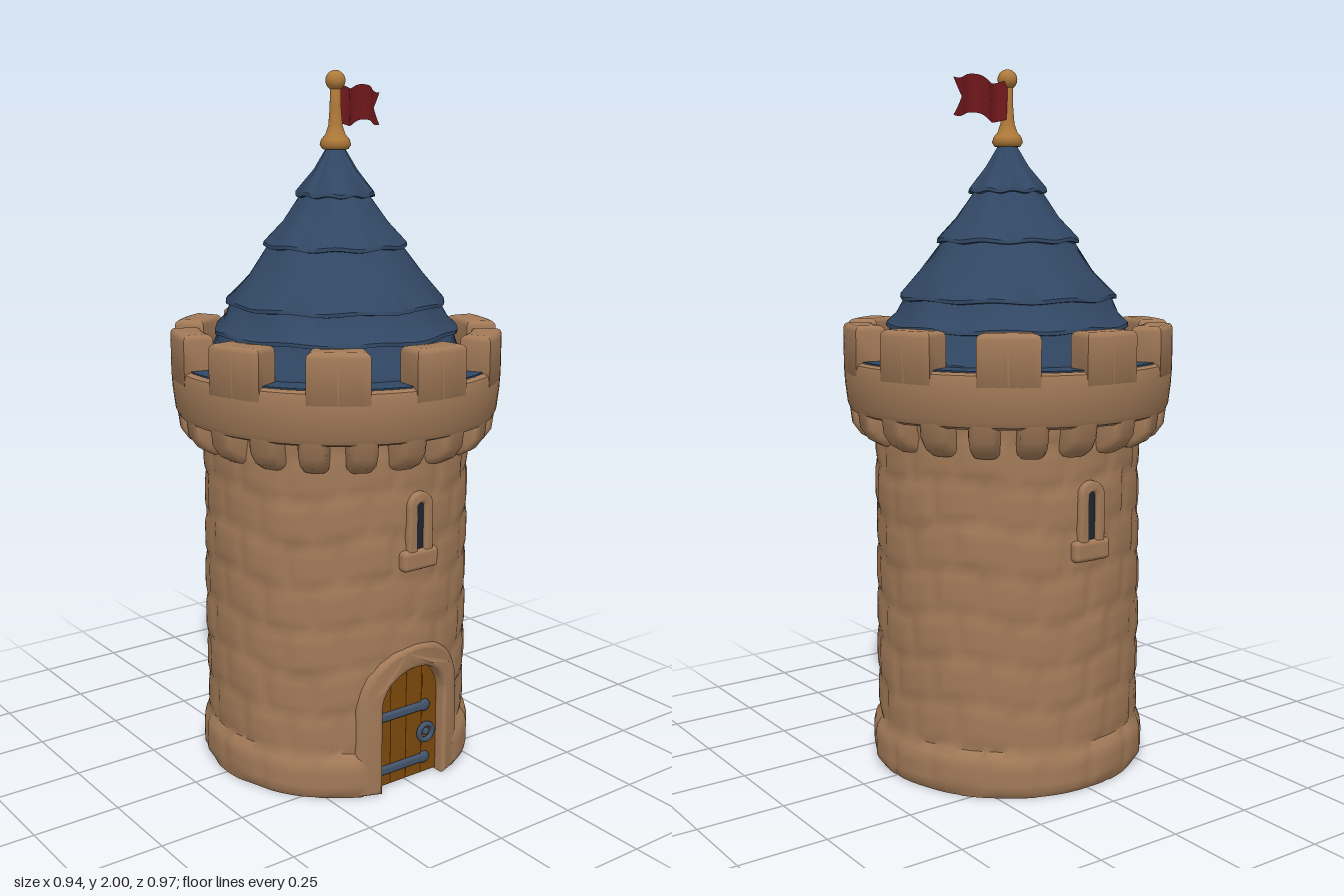
import * as THREE from 'three';
import { toCreasedNormals } from 'three/addons/utils/BufferGeometryUtils.js';
import { RoundedBoxGeometry } from 'three/addons/geometries/RoundedBoxGeometry.js';

const mat = (name, color, extra = {}) => {
  const m = new THREE.MeshStandardMaterial({ color, ...extra });
  m.name = name;
  return m;
};
const V2 = (x, y) => new THREE.Vector2(x, y);

export function createModel() {
  const stone = mat('stone', 0xa27a58);
  const slate = mat('slate blue', 0x314764);
  const wood = mat('door wood', 0x7c490c);
  const brass = mat('brass', 0xb07a3a);
  const iron = mat('iron', 0x42536b);
  const cloth = mat('red cloth', 0x7e1c20, { side: THREE.DoubleSide });
  const dark = mat('window dark', 0x1d2530);

  const model = new THREE.Group();
  model.name = 'tower';
  const add = (name, geo, material, parent = model) => {
    const mesh = new THREE.Mesh(geo, material);
    mesh.name = name;
    parent.add(mesh);
    return mesh;
  };
  const hash = (a, b) => {
    const s = Math.sin(a * 127.1 + b * 311.7) * 43758.5453;
    return s - Math.floor(s);
  };
  const reshape = (geo, rule, crease = 0.7) => {
    const p = geo.attributes.position, v = new THREE.Vector3();
    for (let i = 0; i < p.count; i++) {
      rule(v.fromBufferAttribute(p, i));
      p.setXYZ(i, v.x, v.y, v.z);
    }
    return toCreasedNormals(geo, crease);
  };
  const extrude = (shape, depth, bevel, curveSegments = 12) => new THREE.ExtrudeGeometry(shape, {
    depth, curveSegments, bevelEnabled: bevel > 0, bevelSize: bevel, bevelThickness: bevel, bevelSegments: 3 });
  const archShape = (w, bottom, spring) => {
    const s = new THREE.Shape();
    s.moveTo(-w, bottom);
    s.lineTo(w, bottom);
    s.lineTo(w, spring);
    s.absarc(0, spring, w, 0, Math.PI);
    s.closePath();
    return s;
  };

  // Wall: uneven stone courses, a wider foot and a doorway pushed inwards
  const wall = new THREE.CylinderGeometry(0.388, 0.388, 1.05, 160, 56);
  wall.rotateY(Math.PI / 2).translate(0, 0.525, 0);
  add('wall', reshape(wall, v => {
    const r0 = Math.hypot(v.x, v.z);
    if (r0 < 0.1) return;
    const a = Math.atan2(v.x, v.z) / (2 * Math.PI) + 1;
    const rowF = v.y / 0.125 + 0.12 * Math.sin(a * 2 * Math.PI * 5), row = Math.floor(rowF);
    const colF = a * 16 + (row % 2) * 0.5, col = Math.floor(colF) % 16;
    const edge = Math.min((rowF - row) * 0.125, (row + 1 - rowF) * 0.125,
      (colF % 1) * 0.15, (1 - colF % 1) * 0.15);
    const foot = 1 - THREE.MathUtils.smoothstep(v.y, 0.1, 0.135);
    let r = 0.387 + (hash(row, col) - 0.5) * 0.005 - 0.006 * (1 - Math.min(1, edge / 0.025));
    r += foot * 0.016 - (v.y < 0.005 ? 0.01 : 0);
    v.x *= r / r0;
    v.z *= r / r0;
    const inDoor = v.y < 0.265 ? Math.abs(v.x) < 0.15 : Math.hypot(v.x, v.y - 0.265) < 0.145;
    if (v.z > 0 && inDoor) v.z = Math.min(v.z, 0.325);
  }), stone);

  // Door surround, bent to follow the wall
  const surround = new THREE.Shape();
  surround.moveTo(0.165, 0.015);
  surround.lineTo(0.165, 0.255);
  surround.absarc(0, 0.255, 0.165, 0, Math.PI);
  surround.lineTo(-0.165, 0.015);
  surround.lineTo(-0.124, 0.015);
  surround.lineTo(-0.124, 0.255);
  surround.absarc(0, 0.255, 0.124, Math.PI, 0, true);
  surround.lineTo(0.124, 0.015);
  const surroundGeo = extrude(surround, 0.07, 0.014, 20).translate(0, 0, 0.315);
  add('doorSurround', reshape(surroundGeo, v => {
    v.z += Math.sqrt(0.16 - v.x * v.x) - 0.4;
  }), stone);

  // Door planks under the arch
  const door = new THREE.Group();
  door.name = 'door';
  model.add(door);
  for (let i = 0; i < 4; i++) {
    const x0 = -0.112 + i * 0.056 + 0.003, x1 = x0 + 0.05;
    const s = new THREE.Shape([V2(x0, 0.008), V2(x1, 0.008)]);
    for (let k = 0; k <= 6; k++) {
      const x = x1 + (x0 - x1) * k / 6;
      s.lineTo(x, 0.26 + Math.sqrt(Math.max(0, 0.0135 - x * x)));
    }
    add('plank', extrude(s, 0.02, 0.003).translate(0, 0, 0.322), wood, door);
  }
  for (const y of [0.055, 0.218]) {
    add('hingeStrap', new RoundedBoxGeometry(0.17, 0.026, 0.016, 3, 0.008).translate(-0.022, y, 0.349), iron, door);
    const tip = add('hingeTip', new THREE.SphereGeometry(0.02, 16, 10), iron, door);
    tip.position.set(0.062, y, 0.349);
    tip.scale.set(1, 0.9, 0.5);
  }
  const ring = add('handleRing', new THREE.TorusGeometry(0.024, 0.008, 10, 24), iron, door);
  ring.position.set(0.065, 0.135, 0.354);
  const boss = add('handleBoss', new THREE.SphereGeometry(0.011, 12, 8), iron, door);
  boss.position.set(0.065, 0.137, 0.353);

  // Arrow slits, front and back
  for (const turn of [0, Math.PI]) {
    const slit = new THREE.Group();
    slit.name = 'arrowSlit';
    slit.rotation.y = turn;
    model.add(slit);
    const frame = archShape(0.036, 0.69, 0.836);
    frame.holes.push(archShape(0.018, 0.7, 0.836));
    add('slitFrame', toCreasedNormals(extrude(frame, 0.025, 0.006), 0.7).translate(0, 0, 0.371), stone, slit);
    add('slitOpening', extrude(archShape(0.016, 0.69, 0.836), 0.008, 0).translate(0, 0, 0.385), dark, slit);
    add('slitSill', new RoundedBoxGeometry(0.122, 0.06, 0.06, 3, 0.014).translate(0, 0.686, 0.376), stone, slit);
  }

  // Battlements: corbels, parapet ring and merlons, slightly deeper than wide
  const crown = new THREE.Group();
  crown.name = 'battlements';
  crown.scale.z = 1.03;
  model.add(crown);

  const corbel = new THREE.Shape([V2(0.34, 1.05), V2(0.34, 0.97), V2(0.385, 0.97),
    V2(0.412, 0.985), V2(0.43, 1.01), V2(0.436, 1.05)]);
  const corbelGeo = toCreasedNormals(extrude(corbel, 0.036, 0.02).translate(0, 0, -0.018), 0.9);
  for (let i = 0; i < 20; i++) {
    add('corbel', corbelGeo, stone, crown).rotation.y = (i + 0.5) * Math.PI / 10;
  }

  const parapet = [[0.36, 1.035], [0.435, 1.035], [0.453, 1.043], [0.461, 1.06], [0.468, 1.12], [0.47, 1.165],
    [0.466, 1.181], [0.455, 1.187], [0.36, 1.187]].map(p => V2(...p));
  add('parapet', toCreasedNormals(new THREE.LatheGeometry(parapet, 96), 0.7), stone, crown);
  add('walkway', new THREE.CylinderGeometry(0.45, 0.45, 0.01, 80).translate(0, 1.186, 0), slate, crown);

  const half = 0.145, merlon = new THREE.Shape();
  merlon.absarc(0, 0, 0.454, Math.PI / 2 - half, Math.PI / 2 + half);
  merlon.absarc(0, 0, 0.4, Math.PI / 2 + half, Math.PI / 2 - half, true);
  merlon.closePath();
  const merlonGeo = toCreasedNormals(extrude(merlon, 0.12, 0.016), 0.9);
  merlonGeo.rotateX(-Math.PI / 2).translate(0, 1.154, 0);
  for (let i = 0; i < 10; i++) {
    add('merlon', merlonGeo, stone, crown).rotation.y = i * Math.PI / 5;
  }

  // Roof of overlapping slate tiers: [lower radius, lower y]
  const tiers = [[0.38, 1.185], [0.35, 1.275], [0.312, 1.355], [0.205, 1.515], [0.112, 1.655], [0.03, 1.8]];
  const roof = [];
  for (let i = 0; i < tiers.length - 1; i++) {
    const [r, y] = tiers[i], [r2, y2] = tiers[i + 1];
    roof.push(V2(r - 0.012, y), V2(r, y + 0.002), V2(r - 0.001, y + 0.012));
    roof.push(V2((r + r2) / 2 - 0.01, (y + y2) / 2), V2(r2 - 0.012, y2));
  }
  add('roof', reshape(new THREE.LatheGeometry(roof, 80), v => {
    const a = Math.atan2(v.x, v.z);
    const k = 1 + 0.008 * Math.sin(a * 7 + v.y * 40) + 0.005 * Math.sin(a * 12 - v.y * 25);
    v.x *= k;
    v.z *= k;
    v.y += 0.003 * Math.sin(a * 9 + v.y * 13);
  }, 0.6), slate);

  // Finial and flagpole
  const pole = [[0.0, 1.782], [0.036, 1.785], [0.044, 1.797], [0.04, 1.812], [0.028, 1.826], [0.02, 1.85],
    [0.016, 1.9], [0.015, 1.96], [0, 1.965]].map(p => V2(...p));
  add('flagpole', new THREE.LatheGeometry(pole, 28), brass);
  add('poleBall', new THREE.SphereGeometry(0.028, 24, 16).translate(0, 1.972, 0), brass);

  // Swallow-tailed flag rippling away from the pole
  const path = new THREE.CatmullRomCurve3([[0.008, -0.012], [0.07, -0.035], [0.125, -0.09], [0.17, -0.12],
    [0.235, -0.15], [0.285, -0.195], [0.337, -0.233]].map(([x, z]) => new THREE.Vector3(x, 0, z)));
  add('flag', reshape(new THREE.PlaneGeometry(1, 2, 30, 8), v => {
    const side = v.y;
    const u = (v.x + 0.5) * (1 - 0.16 * (1 - Math.abs(side)));
    const p = path.getPoint(u);
    const height = 0.054 - 0.006 * u;
    v.set(p.x, 1.91 - 0.008 * u + 0.009 * Math.sin(u * 9 + 2.6) + side * height, p.z);
  }, 1.2), cloth);

  return model;
}
